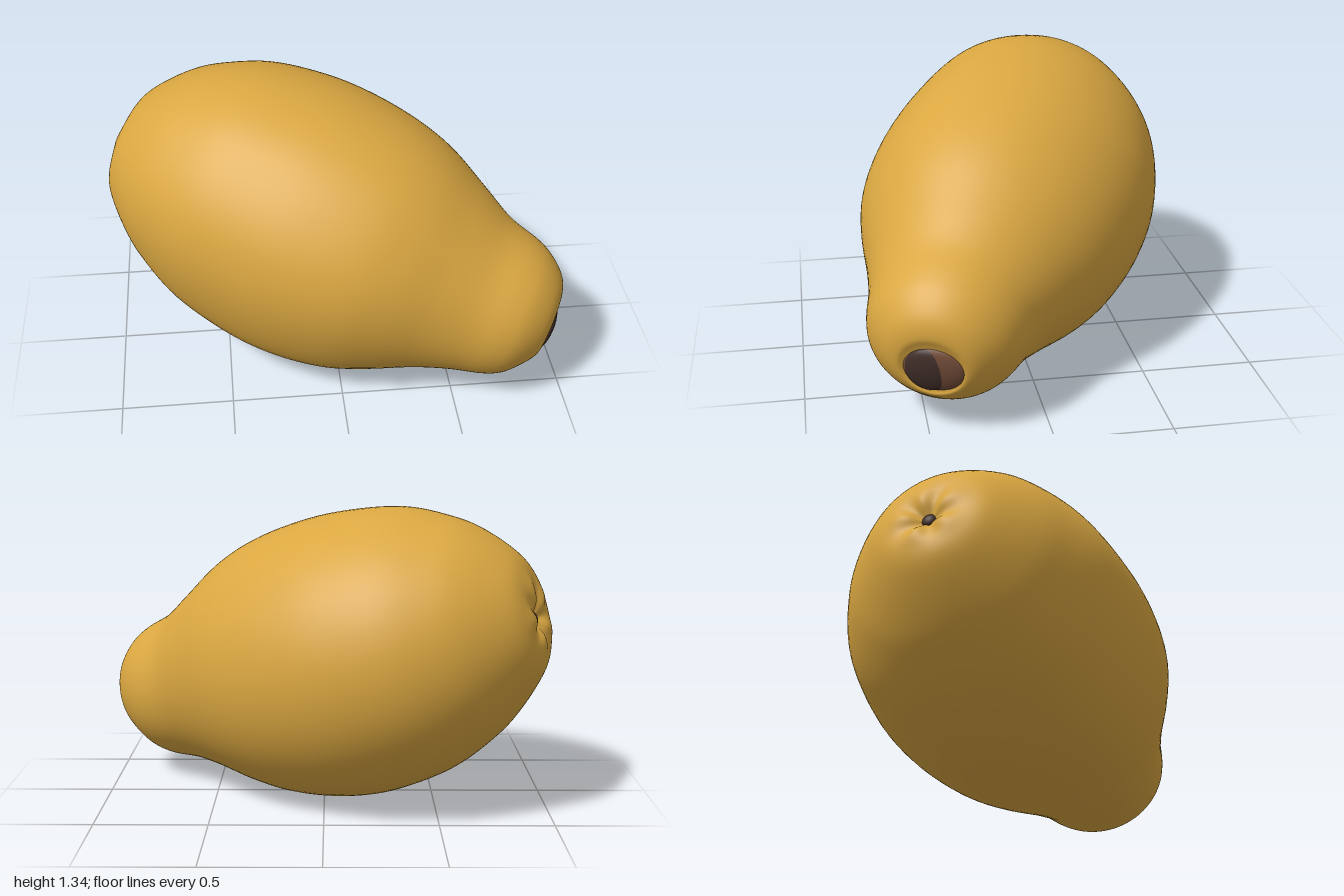
import * as THREE from 'three';

const skinMat = new THREE.MeshStandardMaterial({ color: 0xdaa741 });
const darkMat = new THREE.MeshStandardMaterial({ color: 0x412f2a });
const brownMat = new THREE.MeshStandardMaterial({ color: 0x734c38 });
skinMat.name = 'goldenSkin';
darkMat.name = 'darkStem';
brownMat.name = 'brownStem';

// Rings along the fruit: position on the axis, centre height, centre side, radius
const PROFILE = [
  [-1.005, 0.005, 0.022, 0], [-1.03, 0.005, 0.022, 0.035], [-1.055, 0.01, 0.022, 0.09],
  [-1.05, 0.02, 0.025, 0.17], [-1.005, 0.03, 0.025, 0.27], [-0.88, 0.032, 0.018, 0.402],
  [-0.75, 0.028, 0.01, 0.495], [-0.54, 0.024, 0.006, 0.59], [-0.27, 0.018, 0.014, 0.639],
  [-0.04, 0.02, 0.03, 0.64], [0.187, 0.028, 0.046, 0.604], [0.372, 0.034, 0.054, 0.54],
  [0.568, 0.027, 0.068, 0.442], [0.725, 0.017, 0.084, 0.37], [0.87, 0.018, 0.09, 0.328],
  [0.955, 0.022, 0.093, 0.285], [1.03, 0.028, 0.09, 0.212], [1.062, 0.014, 0.086, 0.153],
  [1.056, 0.0, 0.087, 0.11], [1.045, -0.002, 0.088, 0],
];

// Swellings and flats around the belly: angle, strength, width
const SWELLS = [[-0.85, 0.045, 0.38], [0.68, -0.026, 0.36]];

function bellyShape(a) {
  let s = 0.026 * Math.cos(2 * (a - 0.75));
  for (const [angle, strength, width] of SWELLS) {
    const d = Math.atan2(Math.sin(a - angle), Math.cos(a - angle));
    s += strength * Math.exp(-((d / width) ** 2));
  }
  return s;
}

function skinGeometry(rows = 120, cols = 90) {
  const centres = new THREE.CatmullRomCurve3(
    PROFILE.map(([u, w, t]) => new THREE.Vector3(u, w, t)), false, 'catmullrom', 0.5);
  const radii = new THREE.CatmullRomCurve3(
    PROFILE.map(([u, , , r]) => new THREE.Vector3(u, r, 0)), false, 'catmullrom', 0.5);
  const pos = [], index = [];
  for (let i = 0; i <= rows; i++) {
    const c = centres.getPoint(i / rows);
    const r = Math.max(0, radii.getPoint(i / rows).y);
    // uneven belly, five soft pleats around the blossom end
    const belly = THREE.MathUtils.smoothstep(r, 0.35, 0.6);
    const pleat = c.x < -0.8 ? 0.009 * Math.exp(-(((r - 0.1) / 0.065) ** 2)) : 0;
    for (let j = 0; j < cols; j++) {
      const a = (j / cols) * Math.PI * 2;
      const rr = r * (1 + belly * bellyShape(a));
      pos.push(c.x + pleat * Math.cos(5 * a), c.y + rr * Math.sin(a), c.z + rr * Math.cos(a));
      if (i < rows) {
        const k = (j + 1) % cols, p = i * cols, q = p + cols;
        index.push(p + j, q + j, p + k, q + j, q + k, p + k);
      }
    }
  }
  const geo = new THREE.BufferGeometry();
  geo.setAttribute('position', new THREE.Float32BufferAttribute(pos, 3));
  geo.setIndex(index);
  geo.computeVertexNormals();
  return geo;
}

// Flattened round button at a point on the axis
function button(name, mat, position, scale) {
  const mesh = new THREE.Mesh(new THREE.SphereGeometry(1, 28, 18), mat);
  mesh.name = name;
  mesh.position.set(...position);
  mesh.scale.set(...scale);
  return mesh;
}

export function createModel() {
  const fruit = new THREE.Group();
  fruit.name = 'fruit';

  const skin = new THREE.Mesh(skinGeometry(), skinMat);
  skin.name = 'skin';
  fruit.add(
    skin,
    button('stemScar', brownMat, [1.05, -0.004, 0.08], [0.036, 0.11, 0.132]),
    button('stemStub', darkMat, [1.055, -0.006, 0.102], [0.036, 0.108, 0.102]),
    button('blossomScar', darkMat, [-1.02, 0.005, 0.022], [0.02, 0.032, 0.032]),
  );

  // lay the long axis diagonally, stem end down and towards the front left
  const tilt = 0.265, turn = 0.392;
  const along = new THREE.Vector3(Math.cos(turn), 0, Math.sin(turn));
  const up = new THREE.Vector3(0, 1, 0);
  const axis = along.clone().multiplyScalar(Math.cos(tilt)).addScaledVector(up, -Math.sin(tilt));
  const rise = along.clone().multiplyScalar(Math.sin(tilt)).addScaledVector(up, Math.cos(tilt));
  const side = new THREE.Vector3().crossVectors(axis, rise);
  fruit.quaternion.setFromRotationMatrix(new THREE.Matrix4().makeBasis(axis, rise, side));

  // centre on the ground
  const model = new THREE.Group();
  model.name = 'model';
  model.add(fruit);
  model.updateMatrixWorld(true);
  const box = new THREE.Box3().setFromObject(model, true);
  const mid = box.getCenter(new THREE.Vector3());
  fruit.position.set(-mid.x, -box.min.y, -mid.z);
  return model;
}
